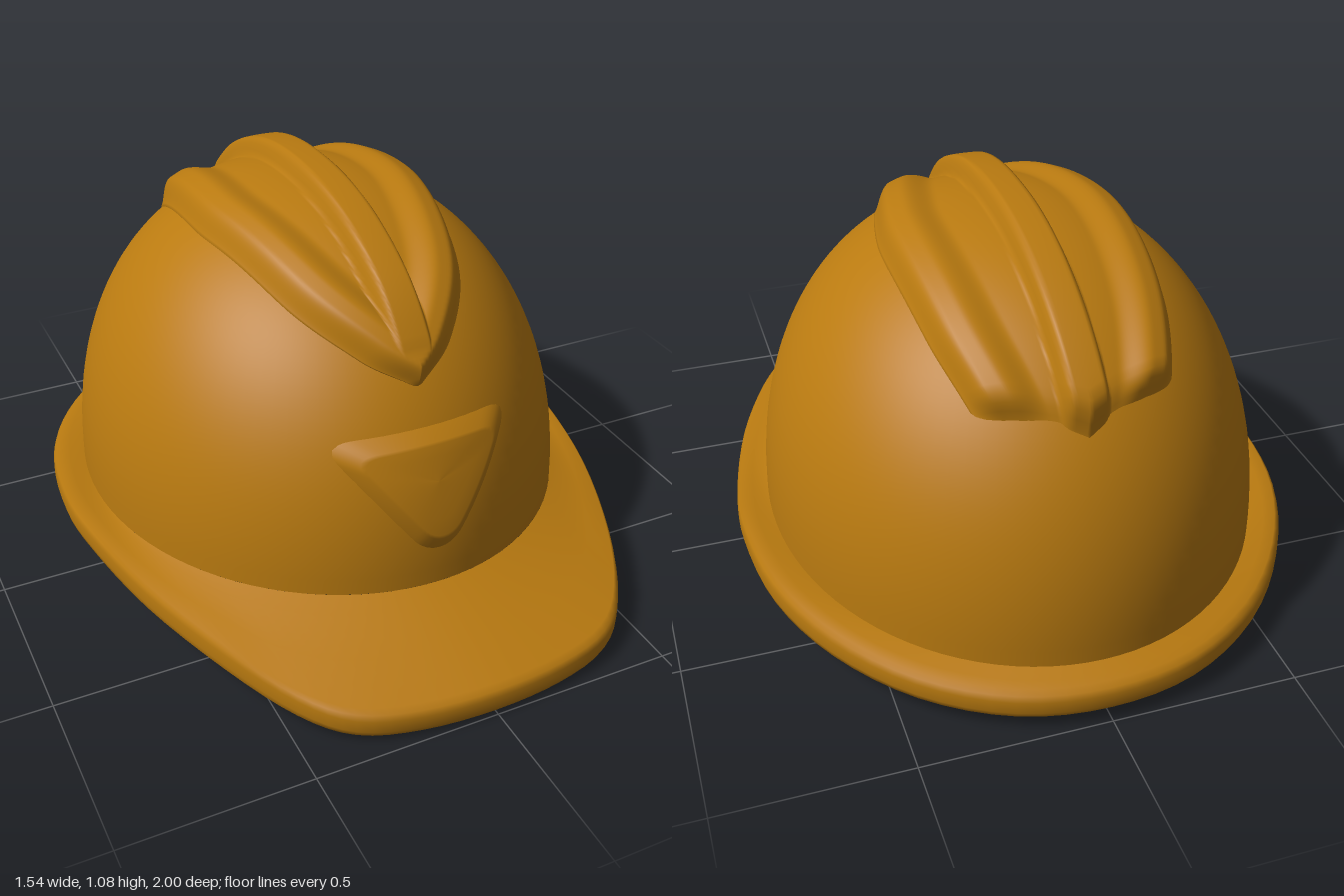
import * as THREE from 'three';

const P = 2.2, RX = 0.68, RZ = 0.8, CZ = -0.12, BASE = 0.16, H = 0.845;
const COLS = 96, LINING = 0.08, FILLET = 0.12;
const smooth = THREE.MathUtils.smoothstep;

// Surface through rows of points; closed joins the last column to the first
function skin(rows, closed) {
  const n = rows[0].length, index = [];
  for (let i = 0; i < rows.length - 1; i++) {
    for (let j = 0; j < (closed ? n : n - 1); j++) {
      const k = (j + 1) % n;
      const a = i * n + j, b = i * n + k, c = a + n, d = b + n;
      index.push(a, b, c, b, d, c);
    }
  }
  const g = new THREE.BufferGeometry();
  g.setAttribute('position', new THREE.Float32BufferAttribute(rows.flat(2), 3));
  g.setIndex(index);
  g.computeVertexNormals();
  return g;
}

// Dome radius factor at a height, and height of the dome's foot at a depth
const radiusAt = (y) => Math.pow(1 - Math.pow(Math.min(1, Math.max(0, (y - BASE) / H)), P), 1 / P);
const baseY = (z) => 0.16 + 0.028 * (z - CZ) / RZ;

// Point raised by h along the dome's normal over plan position x, z
function onDome(x, z, h) {
  const zz = z - CZ;
  const r = Math.min(1, Math.hypot(x / RX, zz / RZ));
  const Y = Math.pow(1 - Math.pow(r, P), 1 / P);
  const k = Math.pow(Math.max(r, 1e-4), P - 2);
  const n = new THREE.Vector3(k * x / RX ** 2, Math.pow(Y, P - 1) / H, k * zz / RZ ** 2).normalize();
  return [x + n.x * h, BASE + H * Y + n.y * h, z + n.z * h];
}

// Dome rows from base to crown, shrunk by inset for the lining
function domeRows(inset, lift) {
  const rows = [];
  for (let i = 0; i <= 40; i++) {
    const v = Math.pow(Math.sin((i / 40) * Math.PI / 2), 2 / P);
    rows.push(Array.from({ length: COLS }, (_, j) => {
      const a = (j / COLS) * Math.PI * 2;
      const y0 = baseY(CZ + RZ * Math.cos(a)) + lift;
      const y = y0 + (BASE + H - y0) * v;
      const r = i === 40 ? 0.0005 : radiusAt(y);
      return [(RX - inset) * r * Math.sin(a), y - inset * v, CZ + (RZ - inset) * r * Math.cos(a)];
    }));
  }
  return rows;
}

// Brim: half outline as x, top edge height, z, mirrored into a closed curve
function brimGeometry(liningFoot) {
  const half = [[0, 0.08, 1], [0.2, 0.08, 0.983], [0.36, 0.087, 0.935], [0.47, 0.104, 0.83],
    [0.58, 0.13, 0.63], [0.69, 0.15, 0.34], [0.755, 0.163, 0.05], [0.77, 0.163, -0.15],
    [0.735, 0.152, -0.4], [0.63, 0.135, -0.63], [0.46, 0.122, -0.83], [0.24, 0.114, -0.96], [0, 0.112, -1]];
  const mirrored = half.slice(1, -1).reverse().map(([x, y, z]) => [-x, y, z]);
  const curve = new THREE.CatmullRomCurve3(
    [...half, ...mirrored].map((p) => new THREE.Vector3(...p)), true, 'catmullrom', 0.5);
  // Section: inward shift from the edge, drop below the top edge
  const section = [[0.055, 0.062], [0.045, 0.075], [0.025, 0.08], [0.008, 0.072], [0, 0.055],
    [0, 0.022], [0.008, 0.007], [0.025, -0.002]];
  const rows = Array.from({ length: section.length + 11 }, () => []);
  for (let j = 0; j < COLS; j++) {
    const a = (j / COLS) * Math.PI * 2;
    const e = curve.getPoint(j / COLS);
    const foot = (inset) => new THREE.Vector3((RX - inset) * Math.sin(a),
      baseY(CZ + RZ * Math.cos(a)), CZ + (RZ - inset) * Math.cos(a));
    const top = foot(0);
    const inward = top.clone().sub(e).setY(0).normalize();
    const pts = section.map(([s, d]) => e.clone().addScaledVector(inward, s).setY(e.y - d));
    // Underside sweeps from the lining down to the rim
    const sweep = new THREE.QuadraticBezierCurve3(
      new THREE.Vector3(...liningFoot[j]), foot(LINING), pts[0]).getPoints(8).slice(0, -1);
    const all = [...sweep, ...pts, pts[7].clone().lerp(top, 0.4), pts[7].clone().lerp(top, 0.8), top];
    all.forEach((p, i) => rows[i].push(p.toArray()));
  }
  return skin(rows, true);
}

// Crest: two rounded side ribs meeting in a V at the front, with a centre rib
function crestGeometry() {
  const edge = new THREE.SplineCurve([[0.004, 0.53], [0.13, 0.455], [0.25, 0.285], [0.325, 0],
    [0.34, -0.2], [0.312, -0.48], [0.25, -0.68]].map((p) => new THREE.Vector2(...p)));
  const across = [-1, -0.995];
  for (let k = -48; k <= 48; k++) across.push(k / 49);
  across.push(0.995, 1);
  const rows = [];
  for (let i = 0; i <= 72; i++) {
    const t = i / 72;
    const { x: w, y: zEdge } = edge.getPoint(t);
    const ends = smooth(t, -0.01, 0.035) * (1 - smooth(t, 0.94, 1));
    rows.push(across.map((s) => {
      const x = s * w, d = w - Math.abs(x);
      const z = zEdge - 0.095 * (1 - Math.abs(s)) * smooth(t, 0.55, 1);
      const rib = 0.02 + 0.034 * (1 - smooth(d, 0.095, 0.175));
      const centre = 0.054 + 0.02 * smooth(t, 0.08, 0.3);
      const ridge = centre * (1 - smooth(Math.abs(x), 0.035, 0.075)) * smooth(t, 0.05, 0.15);
      const wall = smooth(d, -0.01, 0.065);
      const height = Math.max(rib, ridge) * wall * ends;
      return onDome(x, z, Math.abs(s) === 1 ? -0.006 : height - 0.006 * (1 - ends));
    }));
  }
  return skin(rows, false);
}

// Raised triangular badge with bevelled sides, wrapped on the front of the dome
function badgeGeometry() {
  const s = new THREE.Shape();
  s.moveTo(0, 0.29);
  s.quadraticCurveTo(0.04, 0.29, 0.07, 0.325);
  s.lineTo(0.24, 0.545);
  s.quadraticCurveTo(0.275, 0.59, 0.2, 0.602);
  s.quadraticCurveTo(0, 0.622, -0.2, 0.602);
  s.quadraticCurveTo(-0.275, 0.59, -0.24, 0.545);
  s.lineTo(-0.07, 0.325);
  s.quadraticCurveTo(-0.04, 0.29, 0, 0.29);
  const outline = s.getSpacedPoints(72).slice(0, -1);
  const rings = [[1, -0.006], [0.97, 0.002], [0.77, 0.025], [0.72, 0.027], [0.5, 0.026], [0.25, 0.025], [0.001, 0.025]];
  return skin(rings.map(([k, h]) => outline.map((p) => {
    const x = p.x * k, y = 0.49 + (p.y - 0.49) * k;
    const r = radiusAt(y);
    return [x, y, CZ + RZ * Math.sqrt(Math.max(0, r * r - (x / RX) ** 2)) + h];
  })), true);
}

export function createModel() {
  const group = new THREE.Group();
  const shell = new THREE.MeshStandardMaterial({ color: 0xb97a10 });
  shell.name = 'amber shell';
  const add = (name, geometry) => {
    const mesh = new THREE.Mesh(geometry, shell);
    mesh.name = name;
    group.add(mesh);
  };
  const lining = domeRows(LINING, FILLET);
  add('dome', skin(domeRows(0, 0), true));
  add('brim', brimGeometry(lining[0]));
  add('innerDome', skin(lining.reverse(), true));
  add('crestRibs', crestGeometry());
  add('frontBadge', badgeGeometry());
  return group;
}
